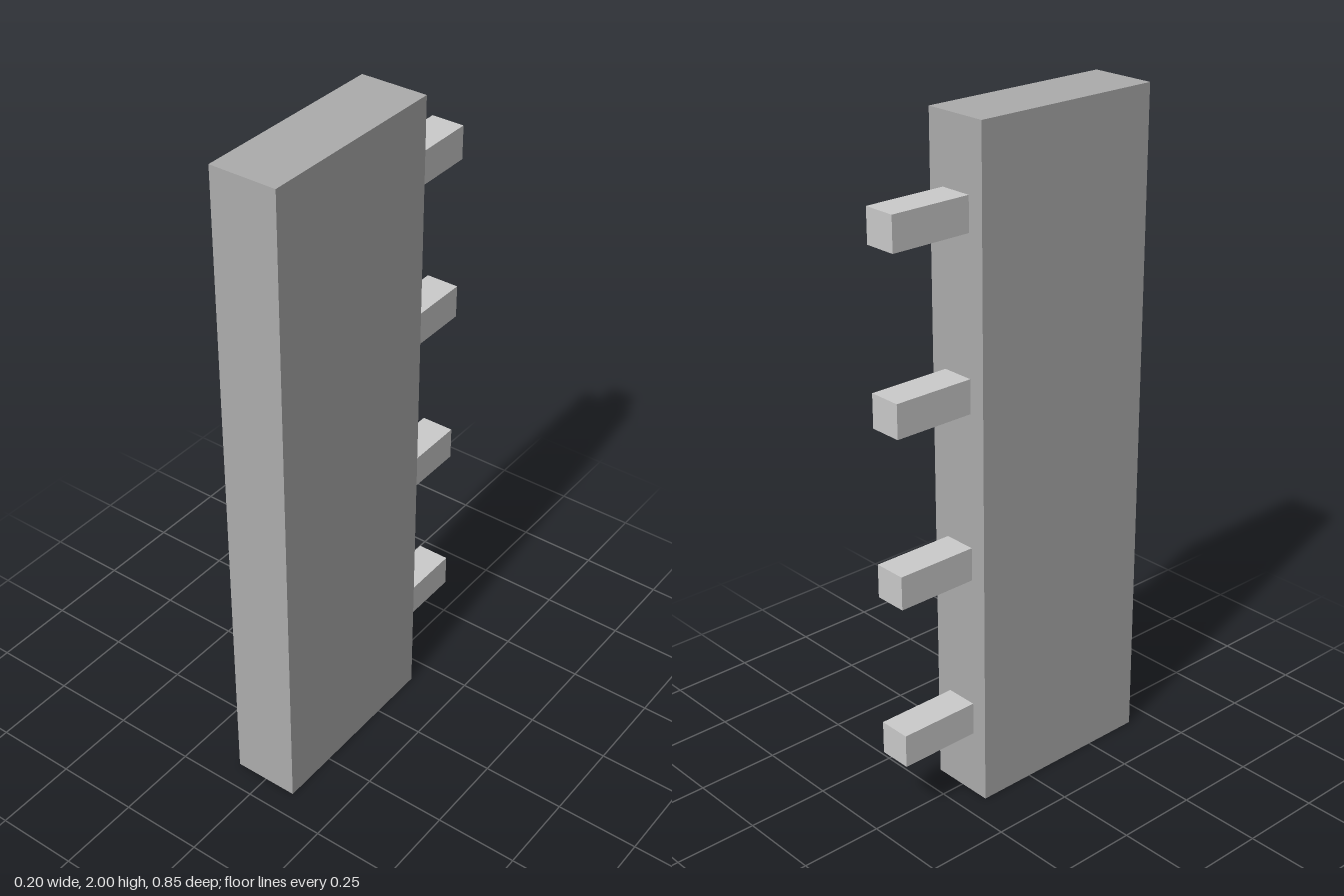
import * as THREE from 'three';

const panelMaterial = new THREE.MeshStandardMaterial({ color: 0xadadad });
const pegMaterial = new THREE.MeshStandardMaterial({ color: 0xcccccc });

export function createModel() {
  const model = new THREE.Group();
  model.name = 'pegPanel';

  // Tall upright slab
  const panel = new THREE.Mesh(new THREE.BoxGeometry(0.2, 2, 0.6), panelMaterial);
  panel.name = 'panel';
  panel.position.set(0, 1, 0.125);
  model.add(panel);

  // Four evenly spaced pegs on the back edge
  const pegGeometry = new THREE.BoxGeometry(0.1, 0.1, 0.25);
  for (let i = 0; i < 4; i++) {
    const peg = new THREE.Mesh(pegGeometry, pegMaterial);
    peg.name = `peg${i + 1}`;
    peg.position.set(0, 0.25 + i * 0.5, -0.3);
    model.add(peg);
  }
  return model;
}
